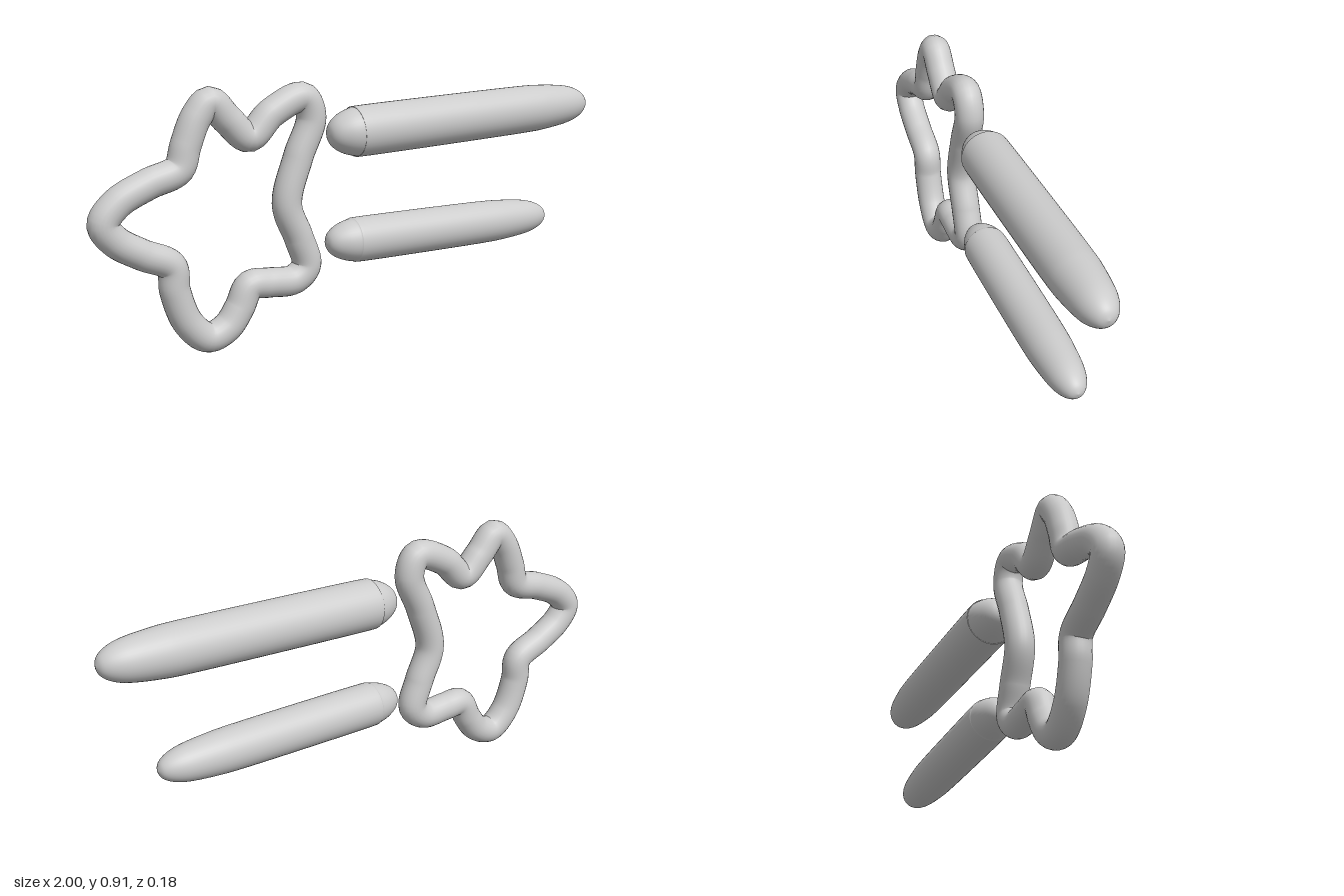
import * as THREE from 'three';

const material = new THREE.MeshStandardMaterial({ color: 0xcccccc });

// Bar: spline profile [distance, radius] turned about an axis from start to end
function bar(name, start, end, profile) {
  const points = new THREE.SplineCurve(profile.map(([d, r]) => new THREE.Vector2(r, d))).getPoints(60);
  points.forEach((p) => { p.x = Math.max(p.x, 0); });
  const mesh = new THREE.Mesh(new THREE.LatheGeometry(points, 40), material);
  mesh.name = name;
  mesh.position.copy(start);
  mesh.quaternion.setFromUnitVectors(new THREE.Vector3(0, 1, 0), end.clone().sub(start).normalize());
  return mesh;
}

// Profile with a blunt start cap and a longer tapering end cap
function barProfile(length, radius) {
  const startCap = [[0, 0], [0.006, 0.32], [0.025, 0.59], [0.06, 0.82], [0.1, 0.95], [0.14, 1]];
  const endCap = [[0.3, 0.98], [0.2, 0.93], [0.1, 0.8], [0.045, 0.61], [0.012, 0.34], [0, 0]];
  return [
    ...startCap.map(([d, r]) => [d, r * radius]),
    [length * 0.45, radius],
    ...endCap.map(([d, r]) => [length - d, r * radius]),
  ];
}

export function createModel() {
  const group = new THREE.Group();

  // Wavy star ring: closed tube through the tips and valleys, clockwise from the top tip
  const path = [
    [-0.57, 0.855], [-0.505, 0.79], [-0.43, 0.727], [-0.345, 0.80], [-0.225, 0.845],
    [-0.193, 0.775], [-0.245, 0.64], [-0.29, 0.48], [-0.245, 0.355], [-0.217, 0.255],
    [-0.265, 0.21], [-0.365, 0.212], [-0.437, 0.212], [-0.477, 0.14], [-0.525, 0.078],
    [-0.595, 0.054], [-0.665, 0.115], [-0.71, 0.235], [-0.72, 0.32], [-0.82, 0.373],
    [-0.91, 0.43], [-0.948, 0.49], [-0.90, 0.552], [-0.79, 0.605], [-0.685, 0.642],
    [-0.657, 0.72], [-0.617, 0.81],
  ].map(([x, y]) => new THREE.Vector3(x, y, 0));
  const curve = new THREE.CatmullRomCurve3(path, true);
  const star = new THREE.Mesh(new THREE.TubeGeometry(curve, 220, 0.052, 24, true), material);
  star.name = 'starRing';
  group.add(star);

  // Two rounded bars beside the star
  group.add(bar('upperBar', new THREE.Vector3(-0.125, 0.706, 0), new THREE.Vector3(1, 0.738, 0), barProfile(1.125, 0.09)));
  group.add(bar('lowerBar', new THREE.Vector3(-0.135, 0.321, 0), new THREE.Vector3(0.82, 0.314, 0), barProfile(0.955, 0.08)));

  return group;
}
